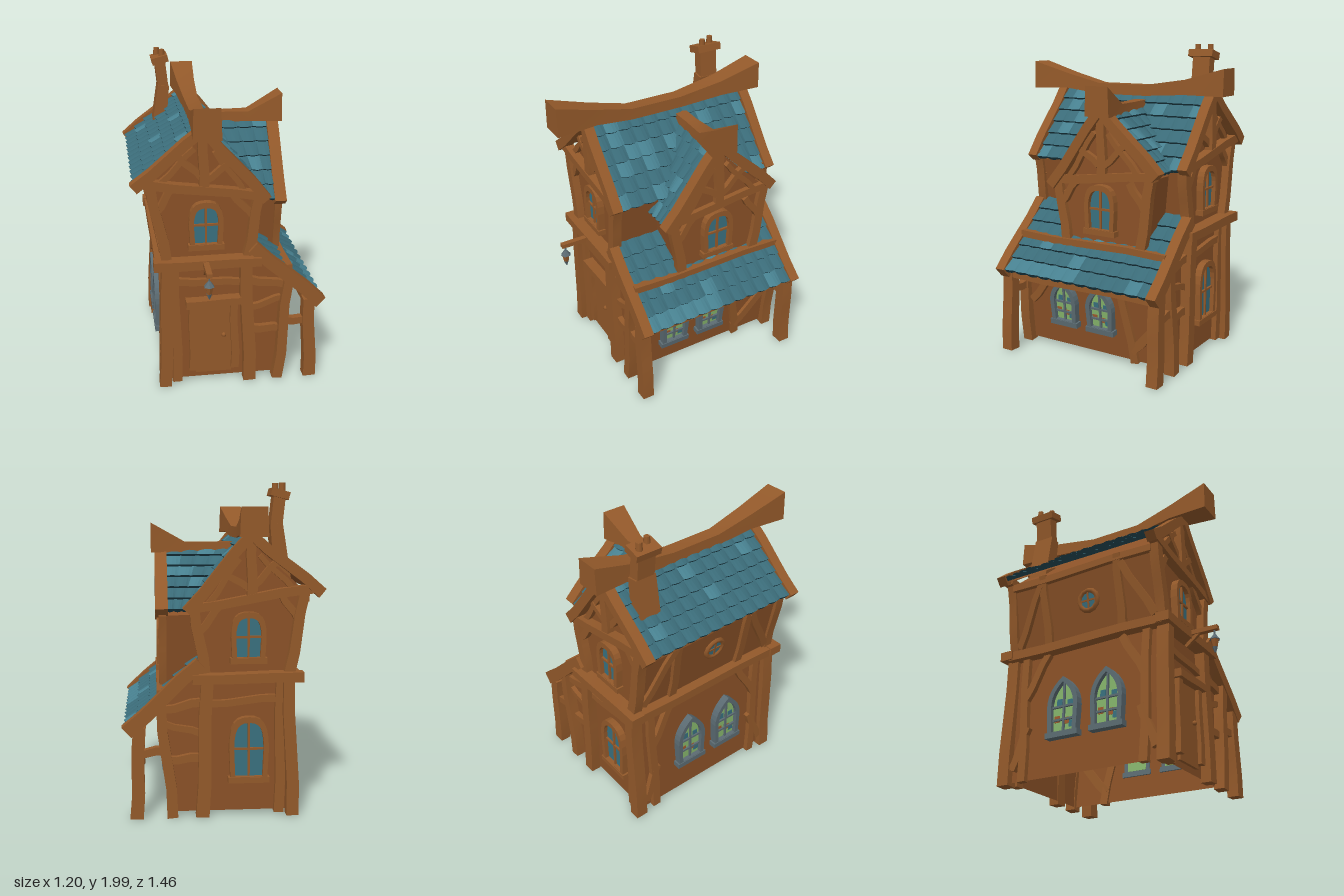
import * as THREE from 'three';

const mat = (name, color, side = THREE.FrontSide) => {
  const m = new THREE.MeshStandardMaterial({ color, side });
  m.name = name;
  return m;
};

export function createModel() {
  const wood = mat('wood', 0x93592a);
  const wall = mat('wall', 0x8a5127, THREE.DoubleSide);
  const tile = mat('tile', 0x3a6b78, THREE.DoubleSide);
  const tileLight = mat('lightTile', 0x47808f, THREE.DoubleSide);
  const tileEdge = mat('tileEdge', 0x21444f, THREE.DoubleSide);
  const metal = mat('metal', 0x5b6b72);
  const glass = mat('glass', 0x39707f);
  const greenGlass = mat('greenGlass', 0x86b56c);
  const redGlass = mat('redGlass', 0x9c5a2e);

  const root = new THREE.Group();
  root.name = 'cottage';
  const ZC = -0.06; // middle of the house in z
  let seed = 7;
  const rnd = () => (seed = (seed * 16807) % 2147483647) / 2147483647;

  const add = (parent, name, geo, material, x = 0, y = 0, z = 0) => {
    const m = new THREE.Mesh(geo, material);
    m.name = name;
    m.position.set(x, y, z);
    parent.add(m);
    return m;
  };
  // A face frame: local x runs along the wall, local z points out of it.
  const face = (name, rotY, z = ZC) => {
    const g = new THREE.Group();
    g.name = name;
    g.rotation.y = rotY;
    g.position.z = z;
    root.add(g);
    return g;
  };
  // Hand-hewn timber between two points, slightly bowed and tapered.
  const beam = (parent, name, a, b, w, d, bow = 0.006, taper = 0.9) => {
    const A = new THREE.Vector3(...a), B = new THREE.Vector3(...b);
    const dir = B.clone().sub(A), len = dir.length();
    dir.normalize();
    const geo = new THREE.BoxGeometry(w, len, d, 1, 4, 1), p = geo.attributes.position;
    for (let i = 0; i < p.count; i++) {
      const t = p.getY(i) / len + 0.5;
      p.setX(i, p.getX(i) * (1 + (taper - 1) * t) + bow * Math.sin(t * Math.PI * 2));
    }
    geo.computeVertexNormals();
    const out = Math.abs(dir.z) > 0.9 ? new THREE.Vector3(1, 0, 0) : new THREE.Vector3(0, 0, 1);
    const side = dir.clone().cross(out).normalize();
    const m = add(parent, name, geo, wood, ...A.add(B).multiplyScalar(0.5).toArray());
    m.quaternion.setFromRotationMatrix(new THREE.Matrix4().makeBasis(side, dir, side.clone().cross(dir)));
    return m;
  };
  // Wall shell: extruded outline with the floor left open.
  const shell = (parent, name, pts, z0, z1) => {
    const src = new THREE.ExtrudeGeometry(new THREE.Shape(pts.map(p => new THREE.Vector2(...p))),
      { depth: z1 - z0, bevelEnabled: false });
    const p = src.attributes.position, n = src.attributes.normal, out = [];
    for (let i = 0; i < p.count; i += 3) {
      if (n.getY(i) < -0.9) continue;
      for (let k = i; k < i + 3; k++) out.push(p.getX(k), p.getY(k), p.getZ(k));
    }
    const geo = new THREE.BufferGeometry();
    geo.setAttribute('position', new THREE.Float32BufferAttribute(out, 3));
    geo.computeVertexNormals();
    add(parent, name, geo, wall, 0, 0, z0);
  };
  // Overlapping wavy shingles on a slope: a-b is the top edge, c-d the eave.
  const shingles = (name, a, b, c, d, rows, cols) => {
    const [A, B, C, D] = [a, b, c, d].map(v => new THREE.Vector3(...v));
    const n = B.clone().sub(A).cross(D.clone().sub(B)).normalize();
    if (n.y < 0) n.negate();
    const at = (u, v, h) => A.clone().lerp(B, u).lerp(C.clone().lerp(D, u), v).addScaledVector(n, h);
    const sets = [[], [], []], sub = 4;
    const quad = (list, p, q, r, s) => [p, q, r, q, s, r].forEach(v => list.push(v.x, v.y, v.z));
    for (let r = 0; r < rows; r++) for (let k = 0; k < cols; k++) {
      const list = sets[rnd() < 0.14 ? 1 : 0];
      for (let j = 0; j < sub; j++) {
        const edge = i => {
          const wave = Math.sin((i / sub) * Math.PI), u = (k + i / sub) / cols;
          const low = (r + 1 + 0.1 * wave) / rows;
          return [at(u, r / rows, 0.002 + 0.006 * wave), at(u, low, 0.016 + 0.012 * wave), at(u, low, -0.004)];
        };
        const e = edge(j), f = edge(j + 1);
        quad(list, e[0], f[0], e[1], f[1]);
        quad(sets[2], e[1], f[1], e[2], f[2]);
      }
    }
    const geoOf = list => {
      const geo = new THREE.BufferGeometry();
      geo.setAttribute('position', new THREE.Float32BufferAttribute(list, 3));
      geo.computeVertexNormals();
      return geo;
    };
    [tile, tileLight, tileEdge].forEach((m, i) => sets[i].length && add(root, name + ['Tiles', 'LightTiles', 'TileEdges'][i], geoOf(sets[i]), m));
    const under = [];
    quad(under, at(0, 0, -0.012), at(1, 0, -0.012), at(0, 1, -0.012), at(1, 1, -0.012));
    add(root, name + 'Boards', geoOf(under), wall);
  };
  // Lofted ridge timber; each section is [position, halfWidth, bottom, top].
  const ridge = (parent, name, secs) => {
    const geo = new THREE.BoxGeometry(2, 1, 1, 1, 1, secs.length - 1), p = geo.attributes.position;
    for (let i = 0; i < p.count; i++) {
      const [z, w, lo, hi] = secs[Math.round((p.getZ(i) + 0.5) * (secs.length - 1))];
      const top = p.getY(i) > 0;
      p.setXYZ(i, p.getX(i) * w * (top ? 0.92 : 1), top ? hi : lo, z);
    }
    geo.computeVertexNormals();
    return add(parent, name, geo, wood);
  };
  const arch = (w, h, pointed, y0 = 0) => {
    const s = new THREE.Shape();
    s.moveTo(-w * 0.92, y0);
    s.lineTo(w * 0.92, y0);
    s.lineTo(w, y0 + h * 0.5);
    if (pointed) s.quadraticCurveTo(w, y0 + h * 0.8, 0, y0 + h).quadraticCurveTo(-w, y0 + h * 0.8, -w, y0 + h * 0.5);
    else s.bezierCurveTo(w, y0 + h * 0.9, w * 0.7, y0 + h, 0, y0 + h).bezierCurveTo(-w * 0.7, y0 + h, -w, y0 + h * 0.9, -w, y0 + h * 0.5);
    return s;
  };
  const extrude = (s, depth) => new THREE.ExtrudeGeometry(s, { depth, bevelEnabled: false, curveSegments: 6 });
  // Framed window; pointed ones have metal frames and coloured panes.
  const windowAt = (parent, name, x, y, z, w, h, pointed = false, tilt = 0) => {
    const g = new THREE.Group(), t = 0.03, fm = pointed ? metal : wood;
    g.name = name;
    g.position.set(x, y, z);
    g.rotation.x = tilt;
    parent.add(g);
    const outer = arch(w / 2, h, pointed);
    outer.holes.push(arch(w / 2 - t, h - 2.2 * t, pointed, t));
    add(g, 'windowFrame', extrude(outer, 0.05), fm, 0, 0, -0.01);
    add(g, 'windowGlass', extrude(arch(w / 2 - t * 0.9, h - 2.1 * t, pointed, t), 0.024), pointed ? greenGlass : glass, 0, 0, -0.012);
    if (pointed) [[-0.28, 0.3, 0], [0.24, 0.55, 1], [-0.2, 0.58, 1], [0.1, 0.26, 0], [0.3, 0.2, 1]].forEach(([u, v, m]) =>
      add(g, 'colouredPane', new THREE.BoxGeometry(w * 0.17, h * 0.11, 0.004), m ? glass : redGlass, u * w * 0.8, v * h, 0.013));
    add(g, 'windowBarUpright', new THREE.BoxGeometry(0.013, h - 2 * t, 0.02), fm, 0, h / 2, 0.015);
    [0.5, ...(pointed ? [0.28] : [])].forEach(v => add(g, 'windowBarCross', new THREE.BoxGeometry(w - 2 * t, 0.013, 0.02), fm, 0, h * v, 0.015));
    add(g, 'windowSill', new THREE.BoxGeometry(w + 0.01, 0.035, 0.06), fm, 0, 0.01, 0.015);
  };

  // House walls
  const house = face('houseWalls', 0);
  shell(house, 'houseShell', [[-0.42, 0.03], [0.29, 0.03], [0.36, 0.72], [0.12, 0.93], [0.17, 1.27], [-0.17, 1.66], [-0.5, 1.36], [-0.4, 0.85]], -0.52, 0.52);

  // Timber framing shared by the front (m = 1) and back (m = -1) gables
  const gable = (g, m) => {
    const b = (name, x0, y0, x1, y1, w, z = 0.53, d = 0.05, bow) => beam(g, name, [m * x0, y0, z], [m * x1, y1, z], w, d, bow);
    b('cornerPost', -0.425, 0.01, -0.395, 0.85, 0.075, 0.55, 0.08);
    b('innerPost', -0.345, 0.02, -0.35, 0.84, 0.06);
    b('middlePost', 0.12, 0.01, 0.09, 0.85, 0.08, 0.55, 0.07);
    b('leanToPost', 0.3, 0.01, 0.365, 0.72, 0.065, 0.55, 0.07, 0.01);
    b('porchPost', 0.515, 0.01, 0.495, 0.57, 0.08, 0.55, 0.075);
    b('porchStrut', 0.36, 0.42, 0.5, 0.41, 0.05, 0.55, 0.045);
    b('leanToRail', 0.13, 0.71, 0.34, 0.67, 0.05);
    b('leanToLowRail', 0.14, 0.37, 0.32, 0.36, 0.05);
    b('leanToBrace', 0.13, 0.52, 0.34, 0.58, 0.04, 0.525);
    b('upperLintel', -0.34, 0.73, 0.08, 0.7, 0.045, 0.525);
    b('floorBeam', -0.48, 0.865, 0.18, 0.86, 0.06, 0.57, 0.09, 0.003);
    b('upperPostA', -0.4, 0.89, -0.485, 1.36, 0.065, 0.54, 0.06);
    b('upperPostB', 0.105, 0.89, 0.165, 1.27, 0.065, 0.54, 0.06);
    b('tieBeam', -0.53, 1.385, 0.2, 1.27, 0.055, 0.55, 0.06);
    b('kingPost', -0.17, 1.32, -0.17, 1.68, 0.06, 0.55, 0.05);
    b('gableBraceA', -0.18, 1.4, -0.32, 1.54, 0.04);
    b('gableBraceB', -0.16, 1.38, 0.0, 1.49, 0.04);
    b('gableBraceC', -0.42, 1.38, -0.22, 1.58, 0.035, 0.525);
    b('gableBraceD', 0.08, 1.3, -0.1, 1.56, 0.035, 0.525);
    b('wallBraceA', -0.45, 1.2, -0.35, 1.35, 0.045);
    b('wallBraceB', 0.14, 1.13, 0.0, 1.3, 0.045);
    b('roofEdgeA', -0.585, 1.36, -0.16, 1.705, 0.065, 0.56, 0.065);
    b('roofEdgeB', 0.21, 1.255, -0.17, 1.705, 0.065, 0.56, 0.065);
    b('leanToRoofEdge', 0.57, 0.545, 0.13, 0.95, 0.085, 0.56, 0.065);
    windowAt(g, 'upperWindow', m * -0.155, 0.95, 0.525, 0.21, 0.3);
  };
  const front = face('frontGable', 0), back = face('backGable', Math.PI);
  gable(front, 1);
  gable(back, -1);
  windowAt(back, 'lowerWindow', 0.16, 0.22, 0.525, 0.24, 0.4);

  // Front door
  add(front, 'door', new THREE.BoxGeometry(0.23, 0.5, 0.03), wood, -0.11, 0.32, 0.525);
  beam(front, 'doorJamb', [-0.245, 0.1, 0.54], [-0.24, 0.57, 0.54], 0.05, 0.05);
  beam(front, 'doorJamb', [0.025, 0.1, 0.54], [0.02, 0.57, 0.54], 0.05, 0.05);
  beam(front, 'doorLintel', [-0.285, 0.58, 0.555], [0.06, 0.59, 0.555], 0.05, 0.07, 0.002);
  add(front, 'doorKnob', new THREE.SphereGeometry(0.015, 10, 8), wood, -0.045, 0.34, 0.55);

  // Lantern on its bracket
  beam(front, 'lanternArm', [-0.165, 0.87, 0.56], [-0.165, 0.87, 0.785], 0.03, 0.035, 0);
  beam(front, 'lanternBrace', [-0.165, 0.79, 0.57], [-0.165, 0.865, 0.66], 0.022, 0.022, 0);
  [['lanternHook', 0.006, 0.006, 0.05, 0.84, metal], ['lanternRoof', 0.008, 0.034, 0.035, 0.81, metal], ['lanternBody', 0.027, 0.016, 0.05, 0.768, wood],
    ['lanternBase', 0.018, 0.004, 0.035, 0.727, metal]].forEach(([n, r1, r2, h, y, m]) =>
    add(front, n, new THREE.CylinderGeometry(r1, r2, h, 6).toNonIndexed(), m, -0.165, y, 0.76).geometry.computeVertexNormals());

  // Wall under the lean-to roof
  const right = face('leanToWall', Math.PI / 2), rz = y => 0.292 + 0.101 * y;
  const rb = (name, x0, y0, x1, y1, w) => beam(right, name, [x0, y0, rz(y0)], [x1, y1, rz(y1)], w, 0.04);
  rb('wallBrace', -0.5, 0.31, -0.31, 0.52, 0.05);
  rb('wallPost', 0.29, 0.02, 0.2, 0.56, 0.055);
  rb('wallBrace', 0.27, 0.1, 0.53, 0.37, 0.06);
  rb('wallBrace', 0.23, 0.5, 0.53, 0.44, 0.05);
  rb('wallRail', -0.52, 0.56, 0.52, 0.56, 0.05);
  [-0.23, 0.05].forEach(x => windowAt(right, 'pointedWindow', x, 0.19, rz(0.19), 0.2, 0.31, true, 0.1));
  beam(right, 'eaveBeam', [-0.54, 0.535, 0.5], [0.54, 0.53, 0.5], 0.05, 0.05);
  beam(right, 'dormerSill', [-0.54, 0.775, 0.365], [0.54, 0.765, 0.365], 0.045, 0.05, 0.008);

  // Long wall opposite the lean-to
  const left = face('longWall', -Math.PI / 2), lz = y => y < 0.86 ? 0.428 - 0.024 * y : 0.4 + 0.196 * (y - 0.85);
  const lb = (name, x0, y0, x1, y1, w) => beam(left, name, [x0, y0, lz(y0) + 0.005], [x1, y1, lz(y1) + 0.005], w, 0.04);
  beam(left, 'floorBeam', [-0.56, 0.86, 0.43], [0.56, 0.86, 0.43], 0.06, 0.08);
  for (const s of [-1, 1]) {
    lb('wallPost', s * 0.42, 0.02, s * 0.44, 0.84, 0.055);
    lb('wallBrace', s * 0.43, 0.55, s * 0.27, 0.83, 0.05);
    lb('wallBrace', s * 0.5, 0.1, s * 0.4, 0.36, 0.05);
    lb('upperPost', s * 0.27, 0.89, s * 0.28, 1.36, 0.055);
    lb('upperBrace', s * 0.5, 0.92, s * 0.3, 1.3, 0.05);
  }
  lb('upperRail', -0.52, 1.33, 0.52, 1.33, 0.05);
  [-0.13, 0.18].forEach(x => windowAt(left, 'pointedWindow', x, 0.26, lz(0.3), 0.22, 0.38, true));
  const round = new THREE.Group();
  round.name = 'roundWindow';
  round.position.set(0.04, 1.12, lz(1.12));
  round.rotation.x = 0.19;
  left.add(round);
  add(round, 'roundFrame', new THREE.TorusGeometry(0.065, 0.018, 6, 12), wood);
  add(round, 'roundGlass', new THREE.CircleGeometry(0.06, 12), glass, 0, 0, 0.006);
  add(round, 'roundBar', new THREE.BoxGeometry(0.012, 0.12, 0.02), wood);
  add(round, 'roundBar', new THREE.BoxGeometry(0.12, 0.012, 0.02), wood);

  // Cross-gable dormer
  const dormer = face('dormer', Math.PI / 2, -0.135);
  shell(dormer, 'dormerShell', [[-0.27, 0.72], [0.28, 0.72], [0.36, 1.22], [0, 1.57], [-0.33, 1.15]], 0.05, 0.34);
  [['dormerPost', -0.265, 0.78, -0.325, 1.18, 0.065], ['dormerPost', 0.28, 0.78, 0.35, 1.25, 0.065], ['dormerTie', -0.35, 1.165, 0.38, 1.24, 0.055],
    ['dormerKingPost', 0, 1.2, 0, 1.6, 0.06], ['dormerBrace', -0.02, 1.28, -0.17, 1.39, 0.04], ['dormerBrace', 0.02, 1.28, 0.18, 1.42, 0.04],
    ['dormerBrace', -0.24, 1.19, -0.05, 1.48, 0.035], ['dormerBrace', 0.26, 1.24, 0.05, 1.48, 0.035],
    ['dormerBrace', -0.3, 1.02, -0.19, 1.16, 0.045], ['dormerBrace', 0.31, 1.03, 0.2, 1.19, 0.045]].forEach(([n, x0, y0, x1, y1, w]) =>
    beam(dormer, n, [x0, y0, 0.35], [x1, y1, 0.35], w, 0.045));
  beam(dormer, 'dormerRoofEdge', [-0.375, 1.125, 0.355], [0.01, 1.63, 0.355], 0.065, 0.075);
  beam(dormer, 'dormerRoofEdge', [0.395, 1.24, 0.355], [-0.01, 1.63, 0.355], 0.065, 0.075);
  windowAt(dormer, 'dormerWindow', -0.005, 0.85, 0.345, 0.22, 0.31);
  for (const [s, x, y] of [[-1, -0.285, 1.1], [1, 0.3, 1.1]])
    beam(dormer, 'dormerSideRail', [x, y, 0.12], [x, y - 0.02, 0.36], 0.03, 0.05, 0);

  // Shingled roofs
  const z0 = -0.61, z1 = 0.49;
  shingles('leftRoof', [-0.17, 1.7, z0], [-0.17, 1.7, z1], [-0.57, 1.37, z0], [-0.57, 1.37, z1], 6, 12);
  shingles('rightRoof', [-0.17, 1.7, z0], [-0.17, 1.7, z1], [0.2, 1.26, z0], [0.2, 1.26, z1], 6, 12);
  shingles('leanToRoof', [0.12, 0.975, z0], [0.12, 0.975, z1], [0.565, 0.565, z0], [0.565, 0.565, z1], 6, 12);
  shingles('dormerFrontRoof', [-0.12, 1.62, -0.135], [0.33, 1.62, -0.135], [0.14, 1.15, 0.23], [0.33, 1.15, 0.23], 6, 4);
  shingles('dormerBackRoof', [-0.12, 1.62, -0.135], [0.33, 1.62, -0.135], [0.14, 1.25, -0.52], [0.33, 1.25, -0.52], 6, 4);

  // Sagging ridge timbers
  ridge(root, 'mainRidge', [[-0.725, 0.083, 1.69, 1.86], [-0.45, 0.065, 1.69, 1.785], [-0.15, 0.05, 1.67, 1.74], [0.2, 0.05, 1.67, 1.74], [0.45, 0.065, 1.7, 1.8], [0.715, 0.083, 1.69, 1.875]]).position.x = -0.172;
  ridge(dormer, 'dormerRidge', [[-0.12, 0.045, 1.58, 1.65], [0.02, 0.042, 1.58, 1.645], [0.2, 0.055, 1.58, 1.645], [0.415, 0.086, 1.58, 1.765]]);

  // Crooked chimney
  const chimney = new THREE.Group();
  chimney.name = 'chimney';
  chimney.position.set(-0.34, 0, -0.465);
  root.add(chimney);
  beam(chimney, 'chimneyBase', [-0.03, 1.4, 0], [0.015, 1.76, 0], 0.1, 0.14, 0, 0.75);
  beam(chimney, 'chimneyNeck', [0.015, 1.74, 0], [-0.005, 1.93, 0], 0.07, 0.12, 0, 1);
  const cap = add(chimney, 'chimneyCap', new THREE.BoxGeometry(0.11, 0.045, 0.17), wood, -0.005, 1.935, 0);
  cap.rotation.z = 0.25;
  [[-0.02, -0.04], [0.01, 0.035]].forEach(([x, z]) => {
    add(chimney, 'chimneyPot', new THREE.CylinderGeometry(0.018, 0.022, 0.06, 8), wood, x, 1.97, z);
  });
  return root;
}
